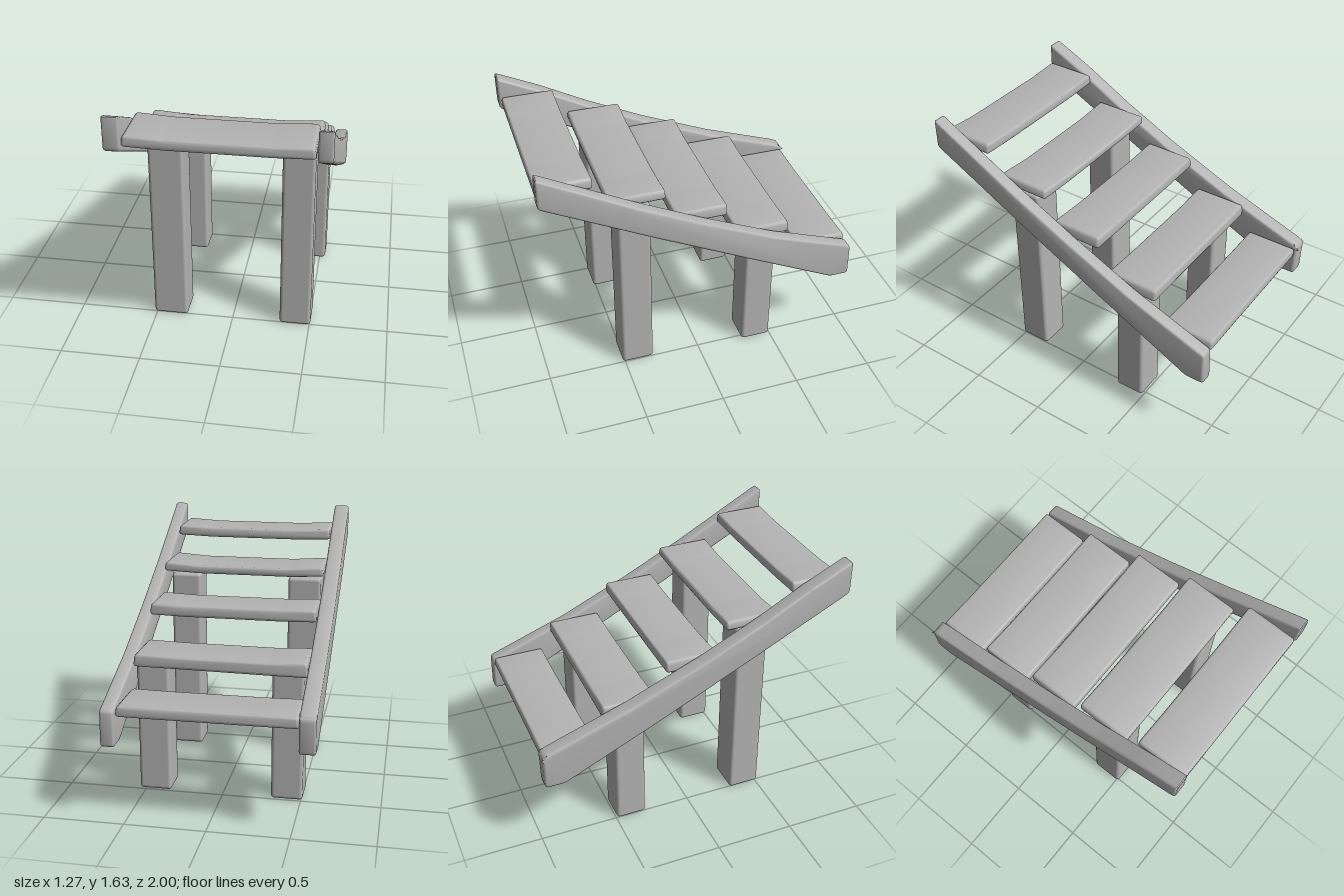
import * as THREE from 'three';
import { toCreasedNormals } from 'three/addons/utils/BufferGeometryUtils.js';
import { RoundedBoxGeometry } from 'three/addons/geometries/RoundedBoxGeometry.js';

const grey = new THREE.MeshStandardMaterial({ color: 0xb4b4b4 });
grey.name = 'grey wood';

// Closed outline with every corner softened by radius r
function softOutline(points, r) {
  const pts = points.map(([x, y]) => new THREE.Vector2(x, y));
  const shape = new THREE.Shape();
  pts.forEach((p, i) => {
    const prev = pts[(i + pts.length - 1) % pts.length];
    const next = pts[(i + 1) % pts.length];
    const a = prev.clone().sub(p).setLength(r).add(p);
    const b = next.clone().sub(p).setLength(r).add(p);
    if (i === 0) shape.moveTo(a.x, a.y);
    else shape.lineTo(a.x, a.y);
    shape.quadraticCurveTo(p.x, p.y, b.x, b.y);
  });
  shape.closePath();
  return shape;
}

// Plank with the given outline, rounded edges, centred on its thickness
function plank(points, thickness, bevel) {
  const geometry = new THREE.ExtrudeGeometry(softOutline(points, 0.022), {
    depth: thickness - 2 * bevel,
    bevelSize: bevel,
    bevelOffset: -bevel,
    bevelThickness: bevel,
    bevelSegments: 3,
    curveSegments: 3,
  });
  geometry.translate(0, 0, bevel - thickness / 2);
  return geometry;
}

function add(group, name, geometry) {
  const mesh = new THREE.Mesh(geometry, grey);
  mesh.name = name;
  group.add(mesh);
  return mesh;
}

export function createModel() {
  const model = new THREE.Group();
  model.name = 'staircase';

  // Sloping side beams: outlines run along z and y, slightly hollow on top
  const beams = [
    ['leftBeam', 0.589, 0.086, [
      [0.99, 1.43], [0.99, 1.625], [0.41, 1.31], [0, 1.105], [-0.45, 0.9],
      [-0.98, 0.705], [-0.985, 0.48], [-0.86, 0.48], [-0.3, 0.76], [0.3, 1.065],
    ]],
    ['rightBeam', -0.587, 0.1, [
      [1, 1.42], [1, 1.635], [0.72, 1.5], [0.41, 1.33], [0.03, 1.145], [-0.44, 0.945],
      [-0.97, 0.755], [-0.99, 0.735], [-0.985, 0.52], [-0.86, 0.52], [-0.3, 0.78], [0.3, 1.07],
    ]],
  ];
  for (const [name, x, width, outline] of beams) {
    const geometry = plank([...outline].reverse(), width, 0.015).rotateY(-Math.PI / 2);
    add(model, name, toCreasedNormals(geometry, 0.6)).position.x = x;
  }

  // Treads: [back z, front z, bottom y, top y, sag, right end drop]
  const treads = [
    [-0.975, -0.645, 0.668, 0.735, 0.003, 0],
    [-0.575, -0.235, 0.845, 0.922, 0.006, 0.012],
    [-0.165, 0.165, 1.062, 1.135, 0.009, 0],
    [0.225, 0.57, 1.262, 1.318, 0.016, 0],
    [0.655, 0.985, 1.432, 1.497, 0.013, 0],
  ];
  treads.forEach(([back, front, bottom, top, sag, drop], i) => {
    const outline = [
      [-0.54, bottom + sag * 0.7 - drop], [-0.3, bottom - drop * 0.6], [0.3, bottom],
      [0.54, bottom + sag * 0.7],
      [0.53, top + sag], [0.3, top], [-0.3, top - drop * 0.3], [-0.53, top + sag],
    ];
    const geometry = plank(outline, front - back, 0.015);
    // Slight waist on the long edges
    const p = geometry.attributes.position;
    for (let k = 0; k < p.count; k++) {
      const waist = 0.97 + 0.03 * Math.min(1, Math.abs(p.getX(k)) / 0.54);
      p.setZ(k, p.getZ(k) * waist);
    }
    const mesh = add(model, `tread${i + 1}`, toCreasedNormals(geometry, 0.6));
    mesh.position.z = (front + back) / 2;
  });

  // Square posts: [name, x, z, width, depth, height]
  const posts = [
    ['frontLeftPost', 0.407, 0.412, 0.2, 0.205, 1.24],
    ['frontRightPost', -0.405, 0.412, 0.22, 0.205, 1.24],
    ['backLeftPost', 0.437, -0.397, 0.205, 0.195, 0.85],
    ['backRightPost', -0.41, -0.397, 0.2, 0.195, 0.85],
  ];
  for (const [name, x, z, width, depth, height] of posts) {
    const geometry = new RoundedBoxGeometry(width, height, depth, 3, 0.022);
    add(model, name, geometry).position.set(x, height / 2, z);
  }

  return model;
}
